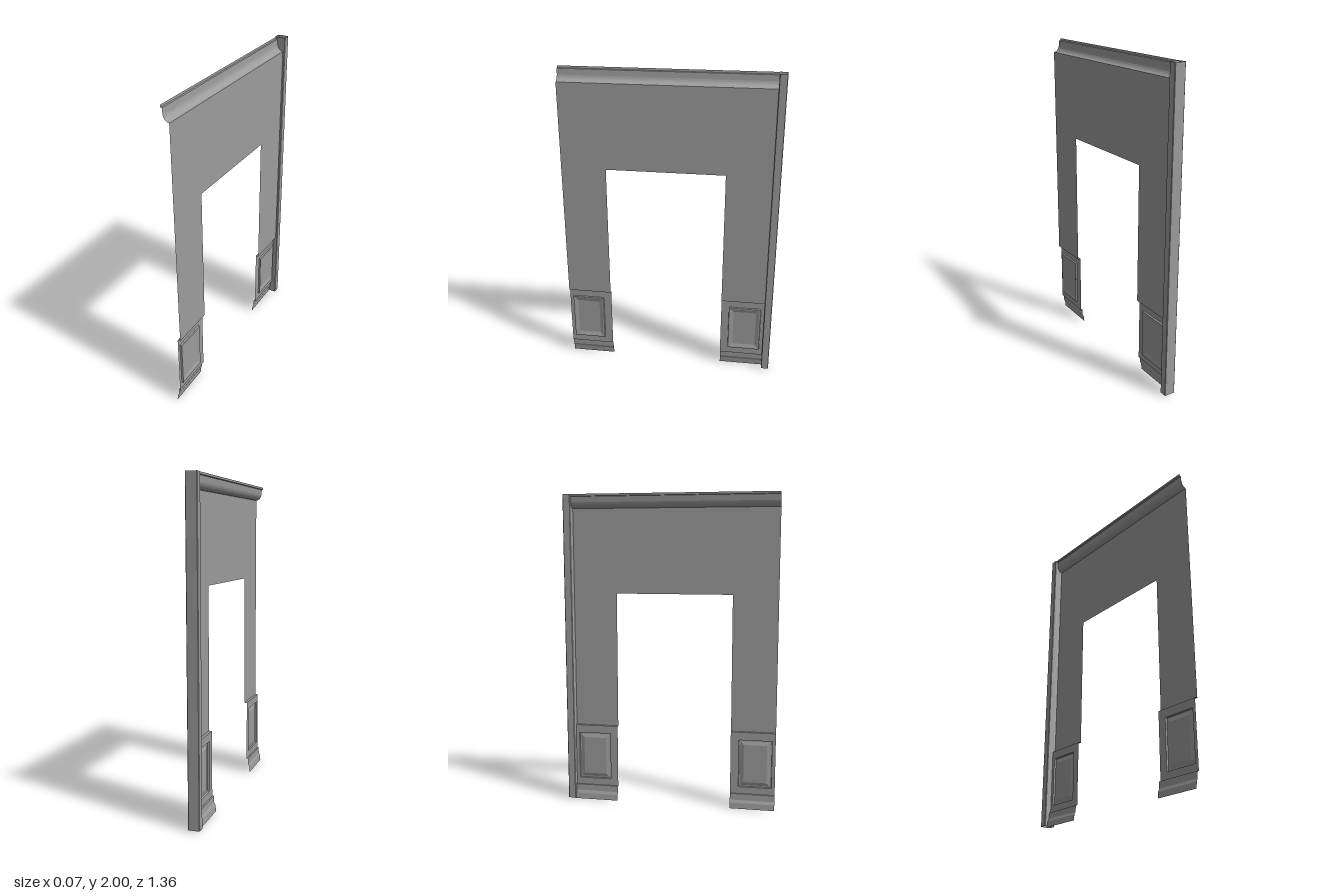
import * as THREE from 'three';

const mat = new THREE.MeshStandardMaterial({ color: 0x9c9c9c, side: THREE.DoubleSide, flatShading: true });

const WALL_X = 0.022, FIELD_X = 0.004;
const Z_BACK = -0.642, Z_FRONT = 0.682, DOOR_BACK = -0.35, DOOR_FRONT = 0.396;
const DOOR_TOP = 1.375, DADO_TOP = 0.502, BASE_TOP = 0.095, CROWN_BOTTOM = 1.912;

function mesh(name, geometry) {
  const m = new THREE.Mesh(geometry, mat);
  m.name = name;
  return m;
}

// Surface through successive rows of points, facing -x for rows running upward
function loft(rows) {
  const n = rows[0].length, index = [];
  for (let r = 0; r < rows.length - 1; r++) {
    for (let i = 0; i < n - 1; i++) {
      const a = r * n + i, b = a + n;
      index.push(a, a + 1, b, a + 1, b + 1, b);
    }
  }
  const g = new THREE.BufferGeometry();
  g.setAttribute('position', new THREE.Float32BufferAttribute(rows.flat(2), 3));
  g.setIndex(index);
  g.computeVertexNormals();
  return g;
}

// Moulding: an [x, y] profile drawn along z
const moulding = (profile, z0, z1) => loft(profile.map(([x, y]) => [[x, y, z0], [x, y, z1]]));

// Flat sheet from [z, y] corners, with an optional opening
function sheet(x, outline, hole) {
  const points = (list) => list.map(([z, y]) => new THREE.Vector2(z, y));
  const shape = new THREE.Shape(points(outline));
  if (hole) shape.holes.push(new THREE.Path(points(hole)));
  return new THREE.ShapeGeometry(shape).rotateY(-Math.PI / 2).translate(x, 0, 0);
}

const rect = (z0, z1, y0, y1) => [[z0, y0], [z1, y0], [z1, y1], [z0, y1]];

// Wainscot and skirting for one side of the doorway
function dado(name, z0, z1, p0, p1) {
  const group = new THREE.Group();
  group.name = name;
  const y0 = 0.14, y1 = 0.45;

  group.add(mesh('wainscotFrame', sheet(FIELD_X, rect(z0, z1, BASE_TOP, DADO_TOP), rect(p0, p1, y0, y1))));
  group.add(mesh('wainscotLedge', moulding([[FIELD_X, DADO_TOP], [WALL_X, DADO_TOP]], z0, z1)));

  // Sunk edge, then a bevel rising to the middle of the panel
  const rings = [[0, FIELD_X], [0.002, 0.015], [0.01, 0.015], [0.032, 0.008]].map(([inset, x]) => {
    const c = rect(p0 + inset, p1 - inset, y0 + inset, y1 - inset);
    return [...c, c[0]].map(([z, y]) => [x, y, z]);
  });
  group.add(mesh('panelBevel', loft(rings)));
  group.add(mesh('panelCentre', sheet(0.008, rect(p0 + 0.032, p1 - 0.032, y0 + 0.032, y1 - 0.032))));

  group.add(mesh('skirting', moulding([
    [-0.02, 0], [-0.016, 0.037], [-0.008, 0.055], [-0.006, BASE_TOP], [FIELD_X, BASE_TOP],
  ], z0, z1)));
  return group;
}

export function createModel() {
  const model = new THREE.Group();
  model.name = 'doorwayWall';

  // Wall sheet around the doorway
  model.add(mesh('wall', sheet(WALL_X, [
    [Z_BACK, DADO_TOP], [DOOR_BACK, DADO_TOP], [DOOR_BACK, DOOR_TOP], [DOOR_FRONT, DOOR_TOP],
    [DOOR_FRONT, DADO_TOP], [Z_FRONT, DADO_TOP], [Z_FRONT, CROWN_BOTTOM], [Z_BACK, CROWN_BOTTOM],
  ])));

  // Crown moulding: a rounded swell below a thin top fillet
  const crown = [];
  for (let i = 0; i <= 6; i++) {
    const a = (i / 6) * Math.PI / 2;
    crown.push([WALL_X - 0.038 * Math.sin(a), CROWN_BOTTOM + 0.05 * (1 - Math.cos(a))]);
  }
  crown.push([-0.018, 1.985], [-0.027, 1.987], [-0.028, 2]);
  model.add(mesh('crownMoulding', moulding(crown, Z_BACK, Z_FRONT)));

  model.add(dado('backDado', Z_BACK, DOOR_BACK, -0.612, -0.4));
  model.add(dado('frontDado', DOOR_FRONT, Z_FRONT, 0.448, 0.66));

  // Hollow corner post with eased edges, open at both ends
  const x = 0.035, za = -0.682, zb = -0.634, e = 0.003;
  const ring = (y) => [
    [-x, y, za + e], [-x, y, zb - e], [-x + e, y, zb], [x - e, y, zb],
    [x, y, zb - e], [x, y, za + e], [x - e, y, za], [-x + e, y, za], [-x, y, za + e],
  ];
  model.add(mesh('cornerPost', loft([ring(0.008), ring(2)])));

  return model;
}
